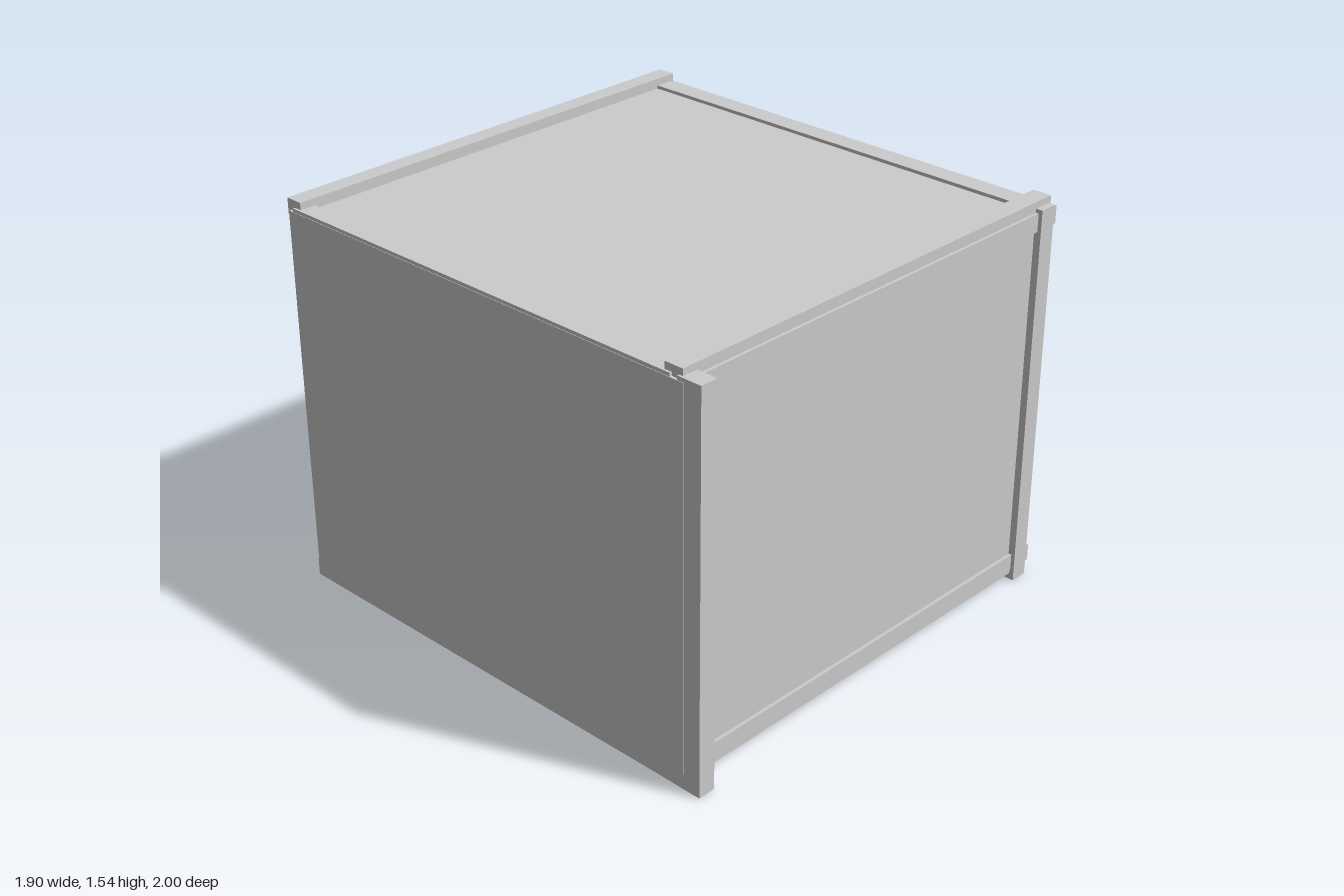
import * as THREE from 'three';

export function createModel() {
  const crate = new THREE.Group();
  crate.name = 'crate';
  const material = new THREE.MeshStandardMaterial({ color: 0xcccccc, flatShading: true });

  // Box given by its extents along each axis
  const board = (name, [x0, x1], [y0, y1], [z0, z1]) => {
    const mesh = new THREE.Mesh(new THREE.BoxGeometry(x1 - x0, y1 - y0, z1 - z0), material);
    mesh.position.set((x0 + x1) / 2, (y0 + y1) / 2, (z0 + z1) / 2);
    mesh.name = name;
    crate.add(mesh);
  };

  // Panels
  board('frontPanel', [-0.93, 0.91], [0.04, 1.495], [0.885, 0.915]);
  board('backPanel', [-0.935, 0.93], [0.06, 1.515], [-1, -0.965]);
  board('leftPanel', [0.885, 0.915], [0.04, 1.495], [-0.97, 0.91]);
  board('rightPanel', [-0.948, -0.915], [0.06, 1.5], [-0.98, 0.93]);
  board('topPanel', [-0.93, 0.9], [1.47, 1.5], [-0.98, 0.91]);
  board('bottomPanel', [-0.93, 0.91], [0.025, 0.055], [-0.97, 0.925]);

  // Front frame: two posts and the rails between them
  board('frontPostRight', [-0.946, -0.875], [0, 1.515], [0.9, 1]);
  board('frontPostLeft', [0.845, 0.917], [0, 1.515], [0.87, 0.943]);

  // Lower and upper rails of the front and the left side
  for (const y of [[0.04, 0.107], [1.43, 1.5]]) {
    board('frontRail', [-0.9, 0.88], y, [0.87, 0.928]);
    board('leftRail', [0.88, 0.952], y, [-0.978, 0.928]);
  }

  // Left side uprights, set back from the rails
  for (const z of [[-0.99, -0.92], [0.845, 0.92]])
    board('leftUpright', [0.87, 0.931], [0.05, 1.48], z);

  // Lid battens: a raised pair across, a lower pair between
  for (const z of [[-1, -0.928], [0.84, 0.916]])
    board('lidCrossBatten', [-0.937, 0.931], [1.48, 1.54], z);
  for (const x of [[-0.946, -0.873], [0.842, 0.915]])
    board('lidSideBatten', x, [1.46, 1.513], [-0.96, 0.87]);

  // Base runners and the rear base batten
  for (const x of [[-0.945, -0.875], [0.845, 0.917]])
    board('baseRunner', x, [0, 0.07], [-0.99, 0.93]);
  board('rearBaseBatten', [-0.9, 0.88], [0.015, 0.08], [-0.985, -0.93]);

  return crate;
}
